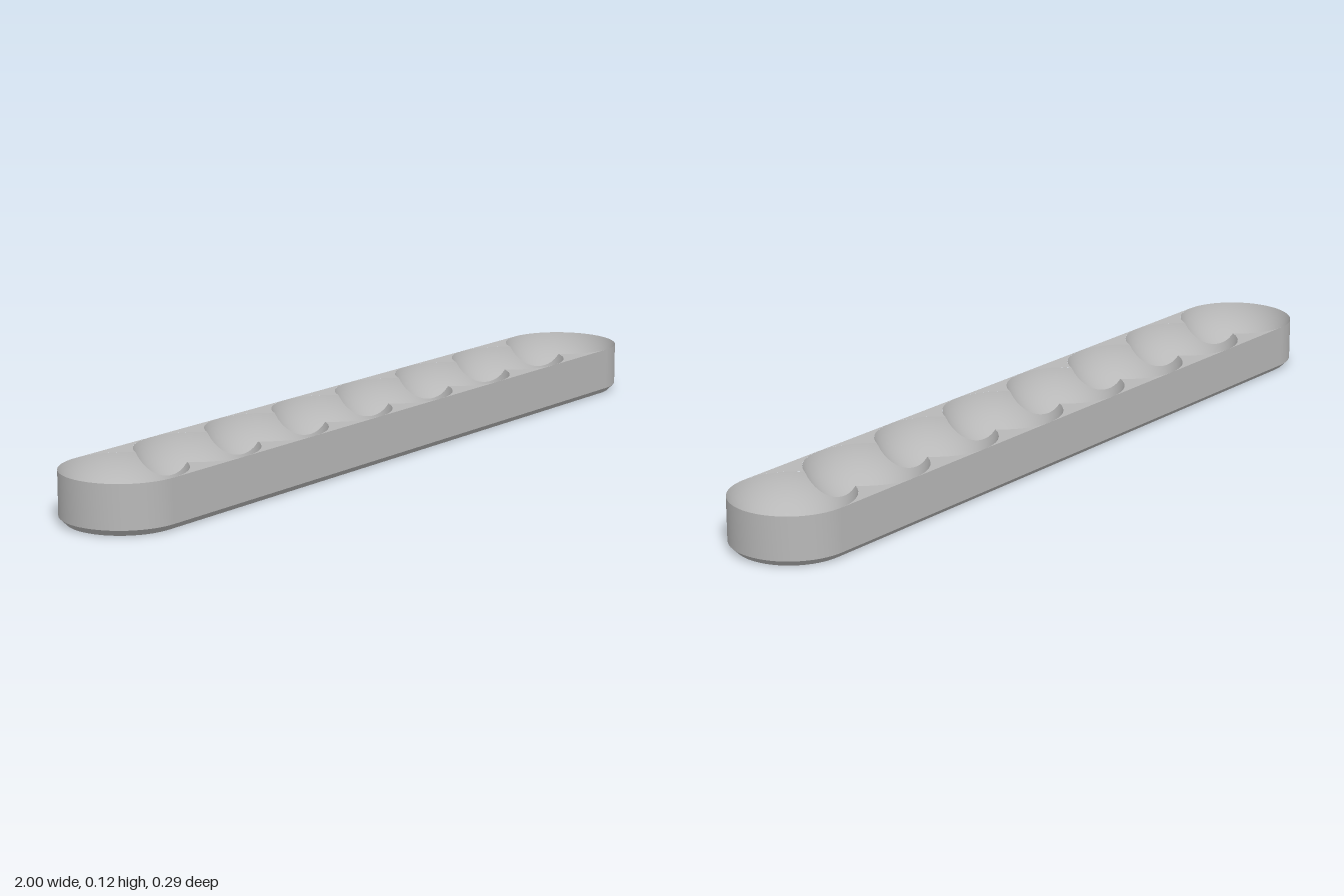
import * as THREE from 'three';

const R = 0.144, H = 0.118, CHAMFER = 0.015;   // end radius, height, bottom chamfer
const COUNT = 8, END = 1 - R;                  // pockets and centre of the last one
const PITCH = (2 * END) / (COUNT - 1), HALF = PITCH / 2;
const FLOOR = 0.015, DEPTH = H - FLOOR;
const BOWL = (R * R + DEPTH * DEPTH) / (2 * DEPTH); // radius of the bowl sphere
const BOWL_Y = FLOOR + BOWL;                        // centre height of the bowl sphere
const CUSP = Math.acos(HALF / R);                   // angle where neighbouring rims meet

// Outline of the tray, counter-clockwise in x and -z
function stadium(radius) {
  const points = [];
  for (const side of [1, -1]) {
    for (let i = 0; i <= 32; i++) {
      const a = -Math.PI / 2 + (Math.PI * i) / 32;
      points.push(new THREE.Vector2(side * (END + radius * Math.cos(a)), side * radius * Math.sin(a)));
    }
  }
  return points;
}

// Surface through rows of points
function surface(rows, closed) {
  const n = rows[0].length, index = [];
  for (let j = 0; j < rows.length - 1; j++) {
    for (let i = 0; i < (closed ? n : n - 1); i++) {
      const k = (i + 1) % n;
      const a = j * n + i, b = j * n + k, c = a + n, d = b + n;
      index.push(a, b, c, b, d, c);
    }
  }
  const geometry = new THREE.BufferGeometry().setFromPoints(rows.flat());
  geometry.setIndex(index);
  geometry.computeVertexNormals();
  return geometry;
}

function band(r0, y0, r1, y1) {
  const ring = (r, y) => stadium(r).map((p) => new THREE.Vector3(p.x, y, -p.y));
  return surface([ring(r0, y0), ring(r1, y1)], true);
}

// Spherical bowl, cut straight where it meets a neighbour
function bowl(cutRight, cutLeft) {
  const stops = [-CUSP, CUSP, Math.PI - CUSP, Math.PI + CUSP, 2 * Math.PI - CUSP];
  const angles = [stops[0]];
  for (let s = 0; s < 4; s++) {
    for (let i = 1; i <= 16; i++) angles.push(THREE.MathUtils.lerp(stops[s], stops[s + 1], i / 16));
  }
  const rows = [];
  for (let j = 16; j >= 0; j--) {
    rows.push(angles.map((a) => {
      const c = Math.cos(a);
      const cut = (c > 0 && cutRight) || (c < 0 && cutLeft);
      const r = (cut ? Math.min(R, HALF / Math.abs(c)) : R) * (j / 16);
      return new THREE.Vector3(r * c, BOWL_Y - Math.sqrt(BOWL * BOWL - r * r), -r * Math.sin(a));
    }));
  }
  const geometry = surface(rows, false);
  const p = geometry.attributes.position, normal = geometry.attributes.normal;
  for (let i = 0; i < p.count; i++) {
    normal.setXYZ(i, -p.getX(i) / BOWL, (BOWL_Y - p.getY(i)) / BOWL, -p.getZ(i) / BOWL);
  }
  return geometry;
}

// Flat web between two rims and the straight edge
function web() {
  const points = [];
  for (let i = 0; i <= 16; i++) {
    const a = THREE.MathUtils.lerp(Math.PI / 2, CUSP, i / 16);
    points.push(new THREE.Vector2(-HALF + R * Math.cos(a), R * Math.sin(a)));
  }
  for (let i = 15; i >= 0; i--) points.push(new THREE.Vector2(-points[i].x, points[i].y));
  return new THREE.ShapeGeometry(new THREE.Shape(points)).rotateX(-Math.PI / 2);
}

export function createModel() {
  const model = new THREE.Group();
  model.name = 'pocketTray';
  const grey = new THREE.MeshStandardMaterial({ color: 0xb8b8b8 });
  grey.name = 'grey';
  const add = (name, geometry, x = 0, y = 0) => {
    const mesh = new THREE.Mesh(geometry, grey);
    mesh.name = name;
    mesh.position.set(x, y, 0);
    model.add(mesh);
    return mesh;
  };

  // Outer shell
  add('outerWall', band(R, CHAMFER, R, H));
  add('bottomChamfer', band(R - CHAMFER, 0, R, CHAMFER));
  add('underside', new THREE.ShapeGeometry(new THREE.Shape(stadium(R - CHAMFER))).rotateX(Math.PI / 2));

  // Row of pockets, each with a small dome on its floor
  const dome = new THREE.SphereGeometry(0.038, 32, 12, 0, Math.PI * 2, 0, Math.PI / 2);
  const webShape = web();
  for (let i = 0; i < COUNT; i++) {
    const x = -END + i * PITCH;
    add('pocket', bowl(i < COUNT - 1, i > 0), x);
    add('pocketDome', dome, x, FLOOR);
    if (i < COUNT - 1) {
      add('topWebBack', webShape, x + HALF, H);
      add('topWebFront', webShape, x + HALF, H).rotation.y = Math.PI;
    }
  }
  return model;
}
